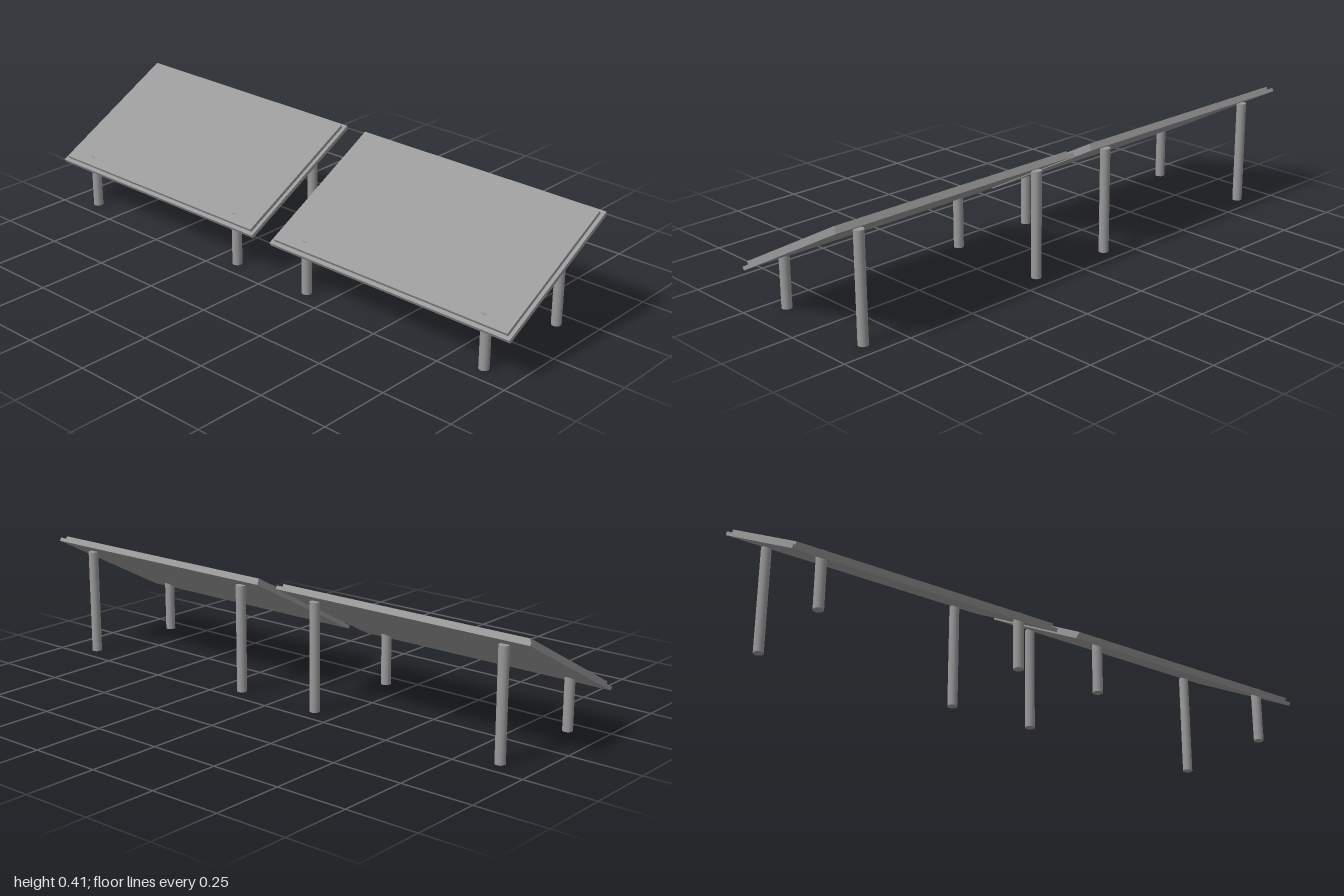
import * as THREE from 'three';

const grey = new THREE.MeshStandardMaterial({ color: 0x999999 });
grey.name = 'grey';

const TILT = 0.493; // panel slope, high edge at the back

function addMesh(parent, name, geometry, x, y, z) {
  const mesh = new THREE.Mesh(geometry, grey);
  mesh.name = name;
  mesh.position.set(x, y, z);
  parent.add(mesh);
  return mesh;
}

// One tilted panel on four posts
function createTable() {
  const table = new THREE.Group();

  // Backing board with a slightly smaller sheet on top
  const panel = new THREE.Group();
  panel.name = 'tiltedPanel';
  panel.position.y = 0.2785;
  panel.rotation.x = TILT;
  addMesh(panel, 'backingBoard', new THREE.BoxGeometry(0.96, 0.0125, 0.532), 0, 0, 0);
  addMesh(panel, 'topSheet', new THREE.BoxGeometry(0.934, 0.011, 0.506), 0, 0.01175, 0);
  table.add(panel);

  // Short posts in front, tall posts behind
  for (const x of [-0.36, 0.36]) {
    for (const [name, z, height] of [['frontPost', 0.188, 0.191], ['backPost', -0.187, 0.368]]) {
      addMesh(table, name, new THREE.CylinderGeometry(0.017, 0.017, height, 32), x, height / 2, z);
    }
  }
  return table;
}

export function createModel() {
  const model = new THREE.Group();
  model.name = 'tiltedPanels';
  for (const side of [-1, 1]) {
    const table = createTable();
    table.name = side > 0 ? 'leftTable' : 'rightTable';
    table.position.x = side * 0.52;
    model.add(table);
  }
  return model;
}
